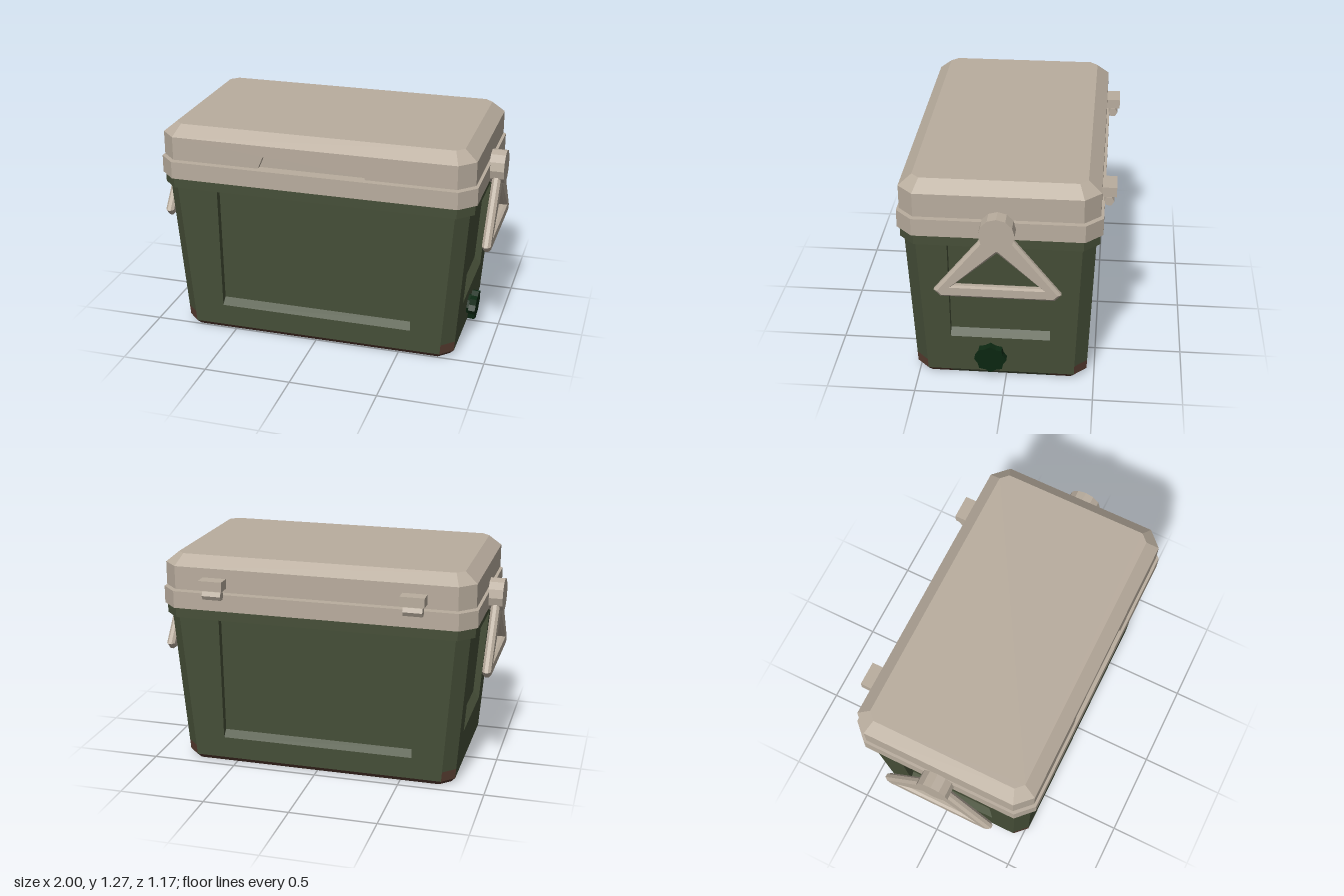
import * as THREE from 'three';

const mat = (name, color) => {
  const m = new THREE.MeshStandardMaterial({ color });
  m.name = name;
  return m;
};

const CZ = 0.03; // the box sits slightly forward of the hinges

// Flat-shaded mesh from convex polygons, corners counter-clockwise from outside
function polyMesh(name, polys, material) {
  const v = [];
  for (const p of polys)
    for (let i = 1; i < p.length - 1; i++) v.push(...p[0], ...p[i], ...p[i + 1]);
  const g = new THREE.BufferGeometry();
  g.setAttribute('position', new THREE.Float32BufferAttribute(v, 3));
  g.computeVertexNormals();
  const m = new THREE.Mesh(g, material);
  m.name = name;
  return m;
}

// Rectangle with cut corners at height y; edge 0 is the front
function ring(y, hx, hz, c) {
  const a = hx - c, b = hz - c;
  return [[-a, hz], [a, hz], [hx, b], [hx, -b], [a, -hz], [-a, -hz], [-hx, -b], [-hx, b]]
    .map(([x, z]) => [x, y, z + CZ]);
}

const band = (lo, hi, i) => [lo[i], lo[(i + 1) % 8], hi[(i + 1) % 8], hi[i]];

// Closed loft through rings, optionally leaving out the front of the first band
function loft(rings, skipFront = false) {
  const polys = [[...rings[0]].reverse(), rings[rings.length - 1]];
  for (let r = 0; r < rings.length - 1; r++)
    for (let i = 0; i < 8; i++)
      if (!(skipFront && r === 0 && i === 0)) polys.push(band(rings[r], rings[r + 1], i));
  return polys;
}

export function createModel() {
  const tan = mat('tan plastic', 0xb9ad9e);
  const green = mat('olive green', 0x464f38);
  const brown = mat('brown corner', 0x573c30);
  const dark = mat('dark green knob', 0x0c2812);
  const model = new THREE.Group();
  model.name = 'coolBox';

  // Tapered body with a recessed panel on each side
  const yLow = 0.03, yTop = 0.905, yMark = 0.09, cut = 0.07;
  const lerp = (a, b, y) => a + (b - a) * (y - yLow) / (yTop - yLow);
  const HX = y => lerp(0.815, 0.88, y), HZ = y => lerp(0.487, 0.52, y);
  const bodyRing = y => ring(y, HX(y), HZ(y), cut);
  const walls = [], feet = [];
  const depth = 0.04;
  for (let k = 0; k < 4; k++) {
    const a = k * Math.PI / 2;
    const n = [Math.round(Math.sin(a)), Math.round(Math.cos(a))];
    const t = [n[1], -n[0]];
    const long = k % 2 === 0;
    const off = long ? HZ : HX;
    const half = y => (long ? HX(y) : HZ(y)) - cut;
    const pw = long ? 0.57 : 0.28, y0 = long ? 0.16 : 0.27, y1 = y0 + 0.038;
    const P = (u, y, d = 0) => {
      const o = off(y) - d;
      return [t[0] * u + n[0] * o, y, t[1] * u + n[1] * o + CZ];
    };
    walls.push(
      [P(-half(yLow), yLow), P(-pw, yLow), P(-pw, yTop), P(-half(yTop), yTop)],
      [P(pw, yLow), P(half(yLow), yLow), P(half(yTop), yTop), P(pw, yTop)],
      [P(-pw, yLow), P(pw, yLow), P(pw, y0), P(-pw, y0)],
      [P(-pw, y0), P(pw, y0), P(pw, y1, depth), P(-pw, y1, depth)],
      [P(-pw, y1, depth), P(pw, y1, depth), P(pw, yTop, depth), P(-pw, yTop, depth)],
      [P(-pw, y0), P(-pw, y1, depth), P(-pw, yTop, depth), P(-pw, yTop)],
      [P(pw, y0), P(pw, yTop), P(pw, yTop, depth), P(pw, y1, depth)]);
  }

  // Cut corners with brown ends, and the bevelled base
  const r0 = ring(0, 0.79, 0.459, 0.06), r1 = bodyRing(yLow);
  const r2 = bodyRing(yMark), r3 = bodyRing(yTop);
  for (let i = 1; i < 8; i += 2) {
    feet.push(band(r1, r2, i), band(r0, r1, i));
    walls.push(band(r2, r3, i));
  }
  for (const i of [0, 4]) feet.push(band(r0, r1, i));
  for (const i of [2, 6]) {
    const [a, b, c, d] = band(r0, r1, i);
    const s = Math.sign(a[2] - b[2]) * 0.28;
    const at = (p, z) => [p[0], p[1], z + CZ];
    feet.push([a, at(a, s), at(d, s), d], [at(a, -s), b, c, at(d, -s)]);
    walls.push([at(a, s), at(a, -s), at(d, -s), at(d, s)]);
  }
  walls.push([...r0].reverse());
  model.add(polyMesh('body', walls, green), polyMesh('cornerFeet', feet, brown));

  // Rims and the seal between rim and lid
  model.add(
    polyMesh('bodyRim', loft([ring(0.905, 0.907, 0.54, 0.085), ring(0.965, 0.907, 0.54, 0.085)]), green),
    polyMesh('upperRim', loft([ring(0.965, 0.92, 0.555, 0.092), ring(1.065, 0.92, 0.555, 0.092)]), tan),
    polyMesh('seal', loft([ring(1.06, 0.81, 0.45, 0.035), ring(1.08, 0.81, 0.45, 0.035)]), tan));

  // Lid with a finger notch cut in the front
  const lid = new THREE.Group();
  lid.name = 'lid';
  const lb = 1.075, lm = 1.21, w = 0.82, zf = 0.54 + CZ, zi = zf - 0.03;
  lid.add(polyMesh('lidShell', loft([
    ring(lb, 0.907, 0.54, 0.087), ring(lm, 0.907, 0.54, 0.087), ring(1.27, 0.835, 0.468, 0.043)], true), tan));
  const notch = [[-0.31, lb], [-0.28, 1.145], [0.28, 1.145], [0.31, lb]];
  const front = new THREE.Shape(
    [[-w, lb], ...notch, [w, lb], [w, lm], [-w, lm]].map(p => new THREE.Vector2(...p)));
  const frontMesh = new THREE.Mesh(new THREE.ShapeGeometry(front), tan);
  frontMesh.name = 'lidFront';
  frontMesh.position.z = zf;
  const notchPolys = [[...notch].reverse().map(p => [...p, zi])];
  for (let i = 0; i < 3; i++) {
    const p = notch[i], q = notch[i + 1];
    notchPolys.push([[...p, zf], [...p, zi], [...q, zi], [...q, zf]]);
  }
  lid.add(frontMesh, polyMesh('fingerNotch', notchPolys, tan));
  model.add(lid);

  const add = (name, geo, material, x, y, z) => {
    const m = new THREE.Mesh(geo.index ? geo.toNonIndexed() : geo, material);
    m.geometry.computeVertexNormals();
    m.name = name;
    m.position.set(x, y, z);
    model.add(m);
    return m;
  };

  // Hinges on the back
  for (const s of [-1, 1]) {
    add('hingePlate', new THREE.BoxGeometry(0.14, 0.056, 0.09), tan, s * 0.58, 1.128, -0.543);
    add('hingePin', new THREE.CylinderGeometry(0.028, 0.028, 0.11, 6).rotateZ(Math.PI / 2),
      tan, s * 0.58, 1.065, -0.547);
  }

  // Triangular swing handles with round pivots
  const V = (x, y) => new THREE.Vector2(x, y);
  const frame = new THREE.Shape([
    V(-0.308, 0.625), V(0.308, 0.625), V(0.345, 0.663), V(0.09, 0.983), V(0.04, 1.045),
    V(-0.04, 1.045), V(-0.09, 0.983), V(-0.345, 0.663)]);
  frame.holes.push(new THREE.Path([V(-0.24, 0.695), V(0, 0.908), V(0.24, 0.695)]));
  for (const s of [-1, 1]) {
    const g = new THREE.ExtrudeGeometry(frame, {
      depth: 0.02, bevelThickness: 0.015, bevelSize: 0.015, bevelOffset: -0.015, bevelSegments: 1 });
    g.translate(0, 0, -0.01).rotateY(Math.PI / 2);
    add('handle', g, tan, s * 0.957, 0, CZ);
    add('handlePivot', new THREE.CylinderGeometry(0.097, 0.097, 0.085, 12).rotateZ(Math.PI / 2),
      tan, s * 0.9575, 1.03, CZ);
  }

  // Fluted drain knob, square to the sloping wall
  const star = new THREE.Shape();
  for (let i = 0; i < 16; i++) {
    const a = i * Math.PI / 8, r = i % 2 ? 0.078 : 0.091;
    star[i ? 'lineTo' : 'moveTo'](Math.cos(a) * r, Math.sin(a) * r);
  }
  const knobGeo = new THREE.ExtrudeGeometry(star, { depth: 0.04, bevelEnabled: false });
  const knob = add('drainKnob', knobGeo.rotateY(Math.PI / 2), dark, 0.84, 0.155, 0.083);
  const stem = add('drainStem', new THREE.CylinderGeometry(0.06, 0.06, 0.05, 8).rotateZ(Math.PI / 2),
    dark, 0.83, 0.155, 0.083);
  knob.rotation.z = stem.rotation.z = -0.075;

  return model;
}
